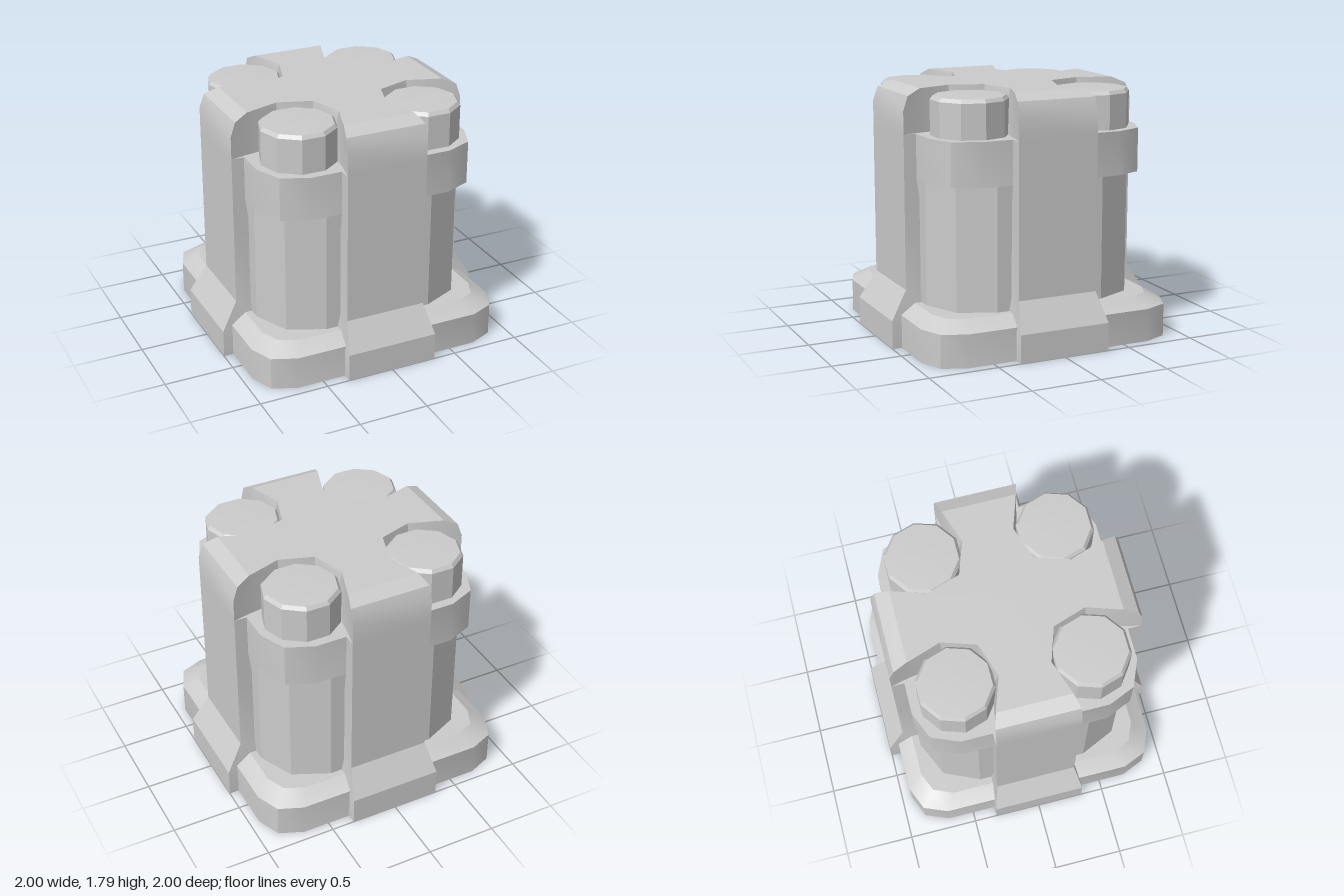
import * as THREE from 'three';
import { toCreasedNormals } from 'three/addons/utils/BufferGeometryUtils.js';

const material = new THREE.MeshStandardMaterial({ color: 0xcccccc });

// Skin a stack of equal-length rings { y, pts: [x, z] } and close both ends with fans
function loft(rings) {
  const pos = [];
  const n = rings[0].pts.length;
  const vertex = (ring, j) => [ring.pts[j % n][0], ring.y, ring.pts[j % n][1]];
  const centre = (ring) => [
    ring.pts.reduce((s, p) => s + p[0], 0) / n, ring.y,
    ring.pts.reduce((s, p) => s + p[1], 0) / n];
  const tri = (...corners) => corners.forEach((c) => pos.push(...c));
  const low = rings[0], high = rings[rings.length - 1];
  for (let j = 0; j < n; j++) {
    for (let i = 0; i < rings.length - 1; i++) {
      const a = vertex(rings[i], j), b = vertex(rings[i], j + 1);
      const c = vertex(rings[i + 1], j), d = vertex(rings[i + 1], j + 1);
      tri(a, c, d);
      tri(a, d, b);
    }
    tri(centre(low), vertex(low, j), vertex(low, j + 1));
    tri(centre(high), vertex(high, j + 1), vertex(high, j));
  }
  const geometry = new THREE.BufferGeometry();
  geometry.setAttribute('position', new THREE.Float32BufferAttribute(pos, 3));
  return toCreasedNormals(geometry, 0.4);
}

// Repeat one corner's outline around the four quarters
function fourfold(corner) {
  const pts = [];
  for (let q = 0; q < 4; q++) {
    for (let [x, z] of corner) {
      for (let k = 0; k < q; k++) [x, z] = [-z, x];
      pts.push([x, z]);
    }
  }
  return pts;
}

// Square with two-segment corners: half size, straight half length, diagonal point
const block = (y, half, flat, diagonal) => ({
  y, pts: fourfold([[half, flat], [diagonal, diagonal], [flat, half]]),
});

// Cross-shaped ring with a scooped pocket in each corner
const cross = (y, end, endW, a, aW, midW) => ({
  y,
  pts: fourfold([[end, endW], [a, aW], [0.5, midW], [0.26, 0.26],
    [midW, 0.5], [aW, a], [endW, end]]),
});

// Rectangular ring of a strap leg on the +x side
const legRing = (y, outer, inner, w) => ({
  y, pts: [[outer, -w], [outer, w], [inner, w], [inner, -w]],
});

export function createModel() {
  const model = new THREE.Group();
  const add = (name, geometry) => {
    const mesh = new THREE.Mesh(geometry, material);
    mesh.name = name;
    model.add(mesh);
    return mesh;
  };

  // Chamfered foot plate, main body and the thicker collar above it
  add('base', loft([block(0, 0.93, 0.69, 0.86), block(0.235, 0.93, 0.69, 0.86),
    block(0.305, 0.82, 0.62, 0.76)]));
  add('body', loft([block(0.29, 0.77, 0.4, 0.655), block(1.19, 0.77, 0.4, 0.655)]));
  add('collar', loft([block(1.18, 0.79, 0.52, 0.71), block(1.49, 0.79, 0.52, 0.71)]));

  // Cross-shaped cap with bevelled arm ends
  add('crossCap', loft([
    cross(1.49, 0.88, 0.295, 0.75, 0.265, 0.225),
    cross(1.65, 0.88, 0.295, 0.75, 0.265, 0.21),
    cross(1.75, 0.845, 0.292, 0.74, 0.262, 0.19),
    cross(1.795, 0.745, 0.262, 0.72, 0.255, 0.18),
  ]));

  // Strap legs running down each side to a flared foot
  const leg = loft([
    legRing(0, 1, 0.7, 0.335), legRing(0.2, 1, 0.7, 0.335),
    legRing(0.4, 0.88, 0.7, 0.295), legRing(1.0, 0.88, 0.765, 0.295),
    legRing(1.18, 0.88, 0.79, 0.295), legRing(1.49, 0.88, 0.78, 0.295),
  ]);
  ['leftLeg', 'backLeg', 'rightLeg', 'frontLeg'].forEach((name, i) => {
    add(name, leg).rotation.y = i * Math.PI / 2;
  });

  // Ten-sided bolts with a chamfered head in each pocket
  const profile = [[0, 1.47], [0.27, 1.47], [0.27, 1.735], [0.25, 1.76], [0, 1.768]]
    .map(([r, y]) => new THREE.Vector2(r, y));
  const bolt = toCreasedNormals(new THREE.LatheGeometry(profile, 10), 0.4);
  bolt.rotateY(Math.PI / 2);
  for (const x of [-1, 1]) {
    for (const z of [-1, 1]) {
      add(`${z > 0 ? 'front' : 'back'}${x > 0 ? 'Left' : 'Right'}Bolt`, bolt)
        .position.set(x * 0.467, 0, z * 0.467);
    }
  }
  return model;
}
